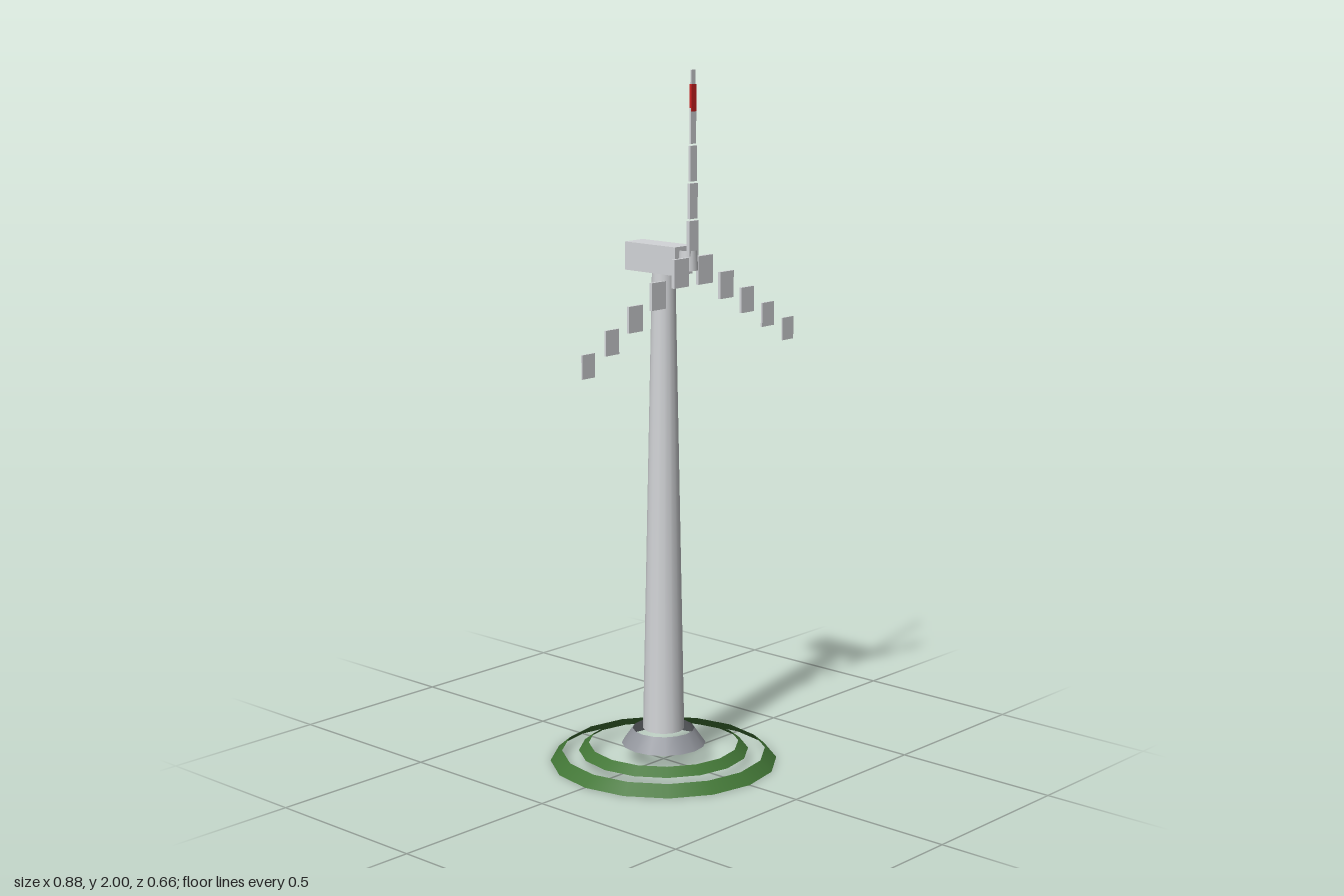
import * as THREE from 'three';

const mat = (name, color, side = THREE.FrontSide) => {
  const m = new THREE.MeshStandardMaterial({ color, side });
  m.name = name;
  return m;
};

export function createModel() {
  const model = new THREE.Group();
  model.name = 'windTurbine';
  const shell = mat('lightGrey', 0xd3d5d8, THREE.DoubleSide);
  const concrete = mat('concreteGrey', 0x92959c, THREE.DoubleSide);
  const grass = mat('grassGreen', 0x427636, THREE.DoubleSide);
  const red = mat('warningRed', 0xcc2222);

  const add = (name, geometry, material, x = 0, y = 0, z = 0, parent = model) => {
    const mesh = new THREE.Mesh(geometry, material);
    mesh.name = name;
    mesh.position.set(x, y, z);
    parent.add(mesh);
    return mesh;
  };

  // Open tapered band standing between two heights
  const band = (name, rBottom, rTop, y0, y1, material, z = 0) =>
    add(name, new THREE.CylinderGeometry(rTop, rBottom, y1 - y0, 16, 1, true), material, 0, (y0 + y1) / 2, z);

  // Stepped ground rings, footing and tower
  band('outerGroundRing', 0.33, 0.296, 0, 0.03, grass);
  band('innerGroundRing', 0.247, 0.218, 0.03, 0.053, grass);
  band('footing', 0.122, 0.09, 0.051, 0.096, concrete);
  band('tower', 0.06, 0.033, 0.096, 1.437, shell);

  // Nacelle and the upright hub sleeve in front of it
  add('nacelle', new THREE.BoxGeometry(0.073, 0.08, 0.19), shell, 0, 1.473, -0.019);
  band('hub', 0.028, 0.025, 1.448, 1.504, shell, 0.092);

  // Rotor: each blade is a row of upright, separate panels
  const rotor = new THREE.Group();
  rotor.name = 'rotor';
  rotor.position.set(0, 1.475, 0.108);
  model.add(rotor);
  const count = 5;
  ['upperBlade', 'leftBlade', 'rightBlade'].forEach((name, b) => {
    const blade = new THREE.Group();
    blade.name = name;
    rotor.add(blade);
    const upper = b === 0;
    const angle = (b * Math.PI * 2) / 3;
    for (let i = 0; i < count; i++) {
      const t = i / (count - 1);
      const r = upper ? 0.063 + 0.413 * t : 0.058 + 0.4225 * t;
      const w = upper ? 0.038 - 0.021 * t : 0.06 - 0.011 * t;
      const h = upper ? 0.098 : 0.08 - 0.014 * t;
      add('bladePanel', new THREE.BoxGeometry(w, h, 0.0105 - 0.0065 * t), shell,
        r * Math.sin(angle), r * Math.cos(angle), 0, blade);
    }
  });

  // Warning band near the upper tip
  add('warningBand', new THREE.BoxGeometry(0.02, 0.074, 0.008), red, 0, 0.449, 0, rotor);
  return model;
}
